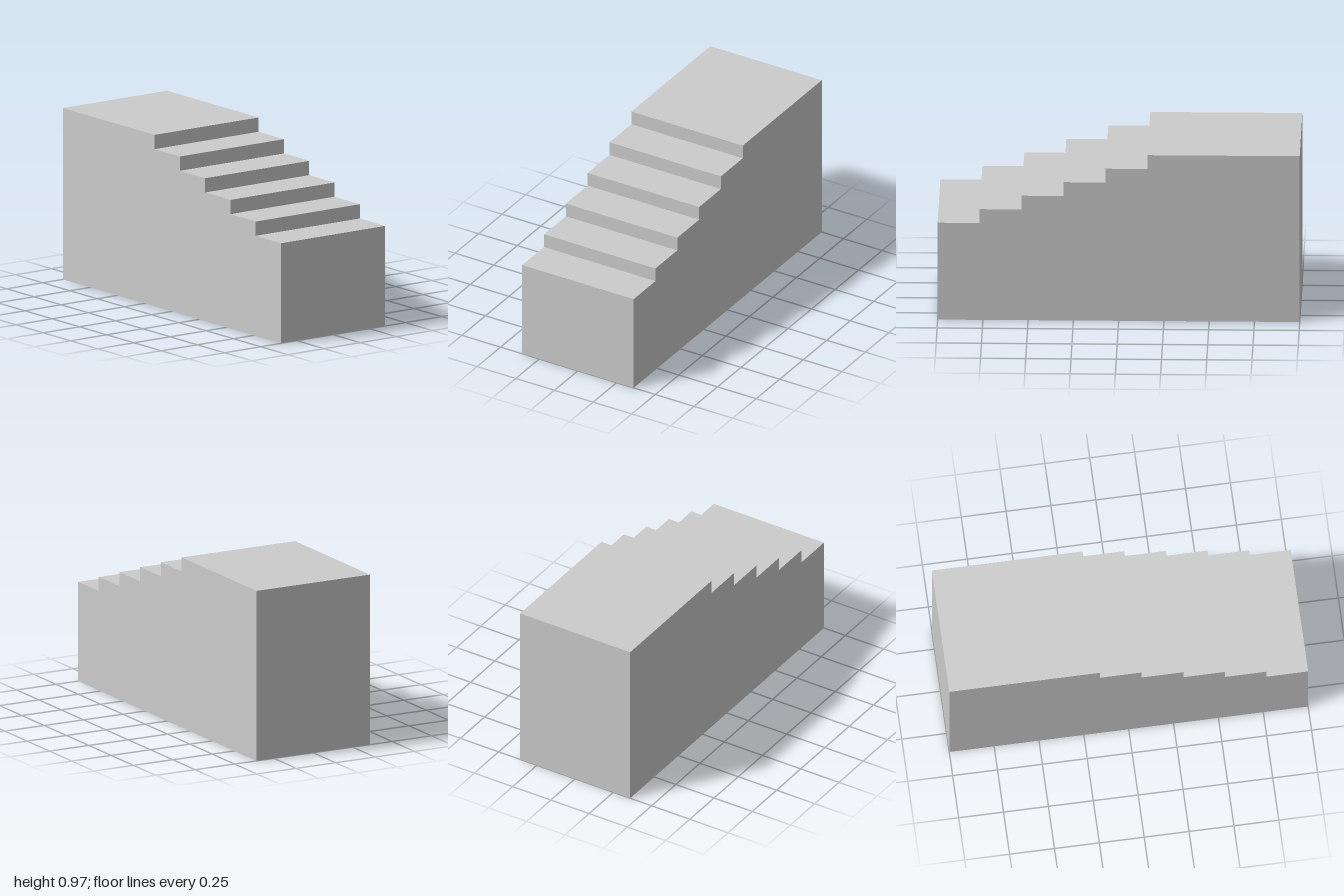
import * as THREE from 'three';

const WIDTH = 0.72;
const STEPS = 5;        // low treads before the landing
const TREAD = 0.232;
const RISER = 0.0807;
const BASE = 0.567;     // height of the lowest tread

export function createModel() {
  const group = new THREE.Group();
  group.name = 'staircase';

  // Side profile: horizontal axis is z, vertical axis is y
  const profile = new THREE.Shape();
  profile.moveTo(-1, 0);
  profile.lineTo(1, 0);
  for (let i = 0; i <= STEPS; i++) {
    const y = BASE + i * RISER;
    profile.lineTo(1 - i * TREAD, y);
    profile.lineTo(i < STEPS ? 1 - (i + 1) * TREAD : -1, y);
  }
  profile.closePath();

  // Extrude across the width and turn the profile to face +z
  const geometry = new THREE.ExtrudeGeometry(profile, { depth: WIDTH, bevelEnabled: false });
  geometry.translate(0, 0, -WIDTH / 2);
  geometry.rotateY(-Math.PI / 2);

  const steps = new THREE.Mesh(geometry, new THREE.MeshStandardMaterial({ color: 0xcccccc }));
  steps.name = 'stepsAndLanding';
  group.add(steps);
  return group;
}
